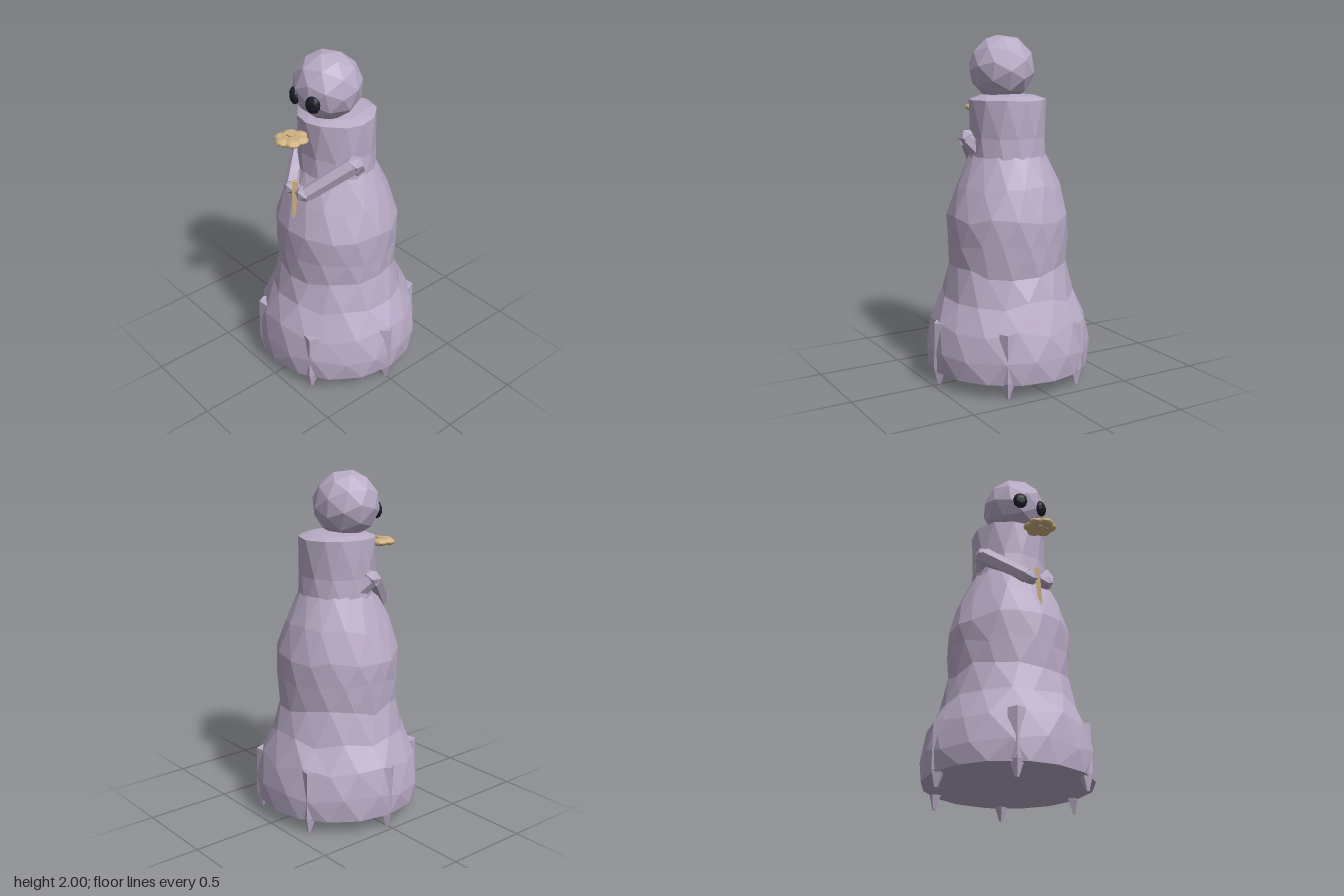
import * as THREE from 'three';

const skin = new THREE.MeshStandardMaterial({ color: 0xb9abc6 });
const dark = new THREE.MeshStandardMaterial({ color: 0x1c1c28 });
const tan = new THREE.MeshStandardMaterial({ color: 0xd0b283 });
skin.name = 'lavender skin'; dark.name = 'black eyes'; tan.name = 'tan flower';

// small seeded noise, -1..1
let seed = 7;
const noise = () => {
  seed = (seed * 16807) % 2147483647;
  return (seed / 2147483647) * 2 - 1;
};

// faceted mesh: unshared vertices give flat normals
function add(parent, name, geometry, material, pos = [0, 0, 0], scale = [1, 1, 1]) {
  const g = geometry.index ? geometry.toNonIndexed() : geometry;
  g.computeVertexNormals();
  const mesh = new THREE.Mesh(g, material);
  mesh.name = name;
  mesh.position.set(...pos);
  mesh.scale.set(...scale);
  parent.add(mesh);
  return mesh;
}

// closed skin over staggered rings of [y, radius], slightly roughened
function ringSkin(rings, n, rough) {
  const pts = [], idx = [];
  const last = rings.length - 1;
  rings.forEach(([y, r], j) => {
    const k = j === 0 || j === last ? 0 : rough;
    for (let i = 0; i < n; i++) {
      const a = ((i + (j % 2) / 2 + noise() * 0.16) / n) * Math.PI * 2;
      const q = r * (1.008 + noise() * k * 0.35);
      pts.push(Math.sin(a) * q, y + noise() * k, Math.cos(a) * q);
    }
  });
  for (let j = 0; j < last; j++) {
    for (let i = 0; i < n; i++) {
      const h = (i + 1) % n;
      const a = j * n + i, b = j * n + h, c = a + n, d = b + n;
      if (j % 2) idx.push(a, b, d, a, d, c);
      else idx.push(a, b, c, b, d, c);
    }
  }
  const low = pts.length / 3;
  pts.push(0, rings[0][0], 0, 0, rings[last][0] + 0.01, 0);
  for (let i = 0; i < n; i++) {
    const h = (i + 1) % n;
    idx.push(low, h, i, low + 1, last * n + i, last * n + h);
  }
  const g = new THREE.BufferGeometry();
  g.setAttribute('position', new THREE.Float32BufferAttribute(pts, 3));
  g.setIndex(idx);
  return g;
}

// tapered limb between two points
function limb(parent, name, from, to, r0, r1, sides, material) {
  const a = new THREE.Vector3(...from), b = new THREE.Vector3(...to);
  const dir = b.clone().sub(a);
  const mesh = add(parent, name, new THREE.CylinderGeometry(r1, r0, dir.length(), sides), material);
  mesh.position.copy(a).add(b).multiplyScalar(0.5);
  mesh.quaternion.setFromUnitVectors(new THREE.Vector3(0, 1, 0), dir.normalize());
  return mesh;
}

export function createModel() {
  const model = new THREE.Group();
  model.name = 'creature';

  // bell-shaped body and collar-like neck
  add(model, 'body', ringSkin([
    [0.08, 0.475], [0.2, 0.485], [0.36, 0.455], [0.5, 0.385], [0.67, 0.343],
    [0.82, 0.35], [0.97, 0.353], [1.14, 0.3], [1.32, 0.22],
  ], 16, 0.025), skin);
  add(model, 'neck', ringSkin([[1.22, 0.228], [1.42, 0.218], [1.635, 0.221], [1.655, 0.16]], 12, 0.006), skin);

  // head and eyes
  add(model, 'head', new THREE.IcosahedronGeometry(0.193, 1), skin, [0, 1.808, 0.065]).rotation.set(0.25, 0.3, 0);
  for (const s of [-1, 1]) {
    const eye = add(model, s > 0 ? 'leftEye' : 'rightEye', new THREE.IcosahedronGeometry(0.046, 1), dark,
      [s * 0.077, 1.768, 0.232], [0.95, 1.1, 0.6]);
    eye.rotation.y = s * 0.4;
  }

  // folded arms meeting in front of the chest
  for (const s of [-1, 1]) {
    const arm = new THREE.Group();
    arm.name = s > 0 ? 'leftArm' : 'rightArm';
    model.add(arm);
    limb(arm, 'upperArm', [s * 0.15, 1.32, -0.01], [s * 0.225, 1.41, 0.06], 0.06, 0.045, 6, skin);
    add(arm, 'elbow', new THREE.IcosahedronGeometry(0.053, 0), skin, [s * 0.225, 1.415, 0.065]);
    limb(arm, 'forearm', [s * 0.222, 1.41, 0.07], [s * 0.065, 1.235, 0.275], 0.053, 0.045, 6, skin);
    add(arm, 'hand', new THREE.IcosahedronGeometry(0.05, 0), skin, [s * 0.052, 1.232, 0.285], [1.1, 0.9, 1]);
  }

  // ridged feet ending in small claws
  for (let i = 0; i < 6; i++) {
    const foot = new THREE.Group();
    foot.name = 'foot' + (i + 1);
    foot.rotation.y = (i * Math.PI) / 3 + Math.PI / 6;
    model.add(foot);
    limb(foot, 'ridge', [0, 0.09, 0.445], [0, 0.37, 0.435], 0.045, 0.05, 5, skin);
    limb(foot, 'claw', [0, 0.0, 0.458], [0, 0.1, 0.45], 0.01, 0.042, 4, skin);
  }
  for (const foot of model.children.filter((c) => c.name.startsWith('foot'))) foot.rotation.y += Math.PI / 3;

  // flower head of lumpy petals, with its stem piece held by the hands
  const flower = new THREE.Group();
  flower.name = 'flower';
  model.add(flower);
  for (let i = 0; i < 6; i++) {
    const a = (i * Math.PI) / 3;
    add(flower, 'petal', new THREE.IcosahedronGeometry(0.044, 1), tan,
      [Math.sin(a) * 0.052, 1.567, 0.32 + Math.cos(a) * 0.055], [1, 0.5, 1]);
  }
  add(flower, 'flowerCentre', new THREE.CylinderGeometry(0.05, 0.05, 0.042, 8), tan, [0, 1.567, 0.32]);
  add(flower, 'flowerButton', new THREE.BoxGeometry(0.04, 0.05, 0.04), tan, [0, 1.57, 0.32]);
  limb(flower, 'stem', [0, 1.06, 0.315], [-0.01, 1.29, 0.295], 0.014, 0.022, 4, tan);

  return model;
}
